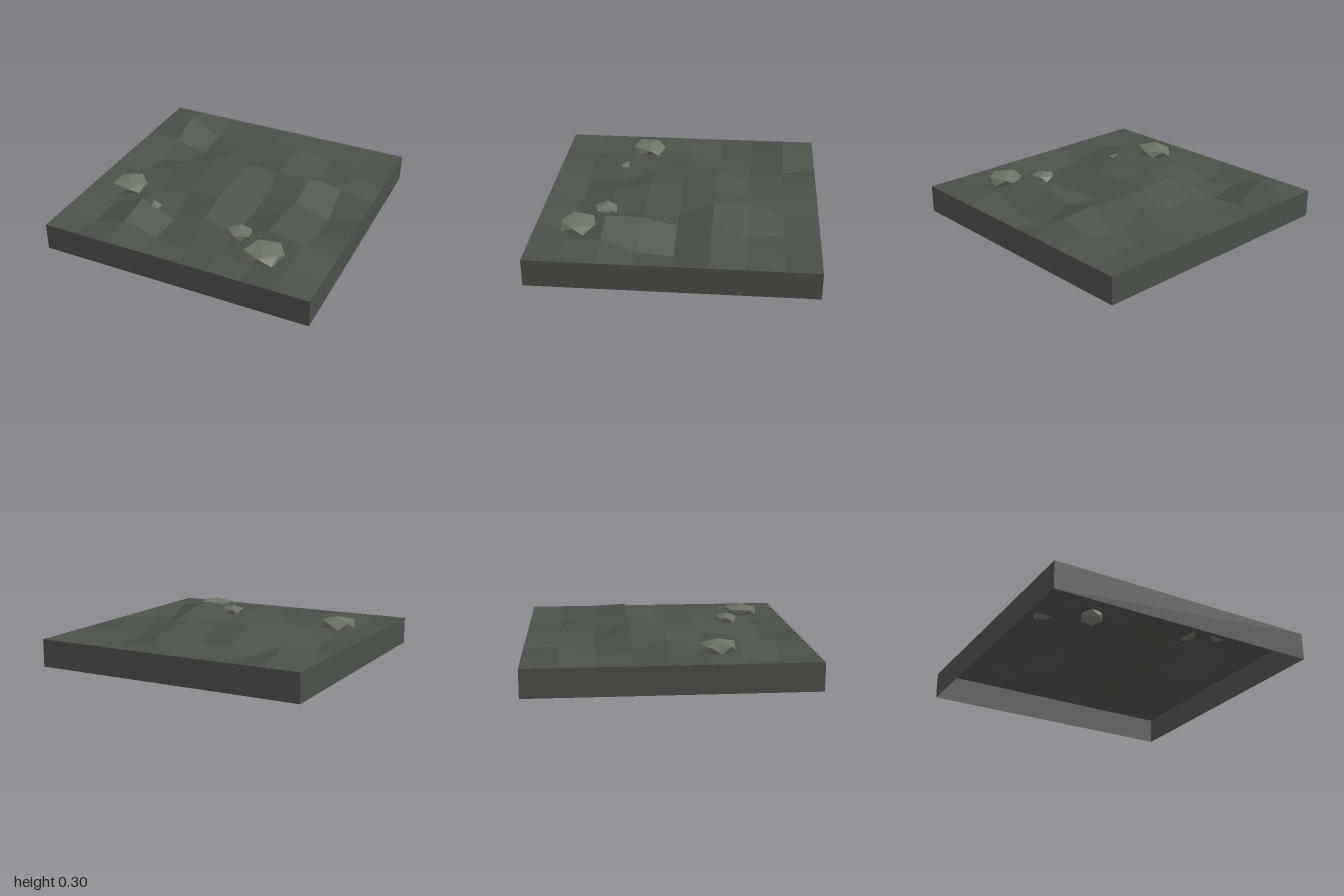
import * as THREE from 'three';

const BASE = 0.2; // height of the rim
const N = 8;      // cells per side

// Inner ground heights in hundredths, rows from back to front, columns from -x to +x
const HEIGHTS = [
  [28.5, 15.5, 17, 22, 19.5, 18, 17],
  [17.5, 13, 18.5, 18.5, 27.8, 15, 22],
  [13, 18, 28.5, 27.5, 26.5, 28.5, 26.2],
  [18, 25, 25, 27, 18.5, 22, 12.5],
  [22, 18.5, 25, 27.5, 18.5, 28, 14],
  [16, 27, 15.5, 24, 18, 28, 23.5],
  [15, 23, 14.5, 13, 18, 14.5, 23],
];

// Rocks: name, position, radius, half height, turn
const ROCKS = [
  ['largeRockLeft', -0.7, 0.245, 0.325, 0.152, 0.056, 0.4],
  ['largeRockRight', 0.55, 0.236, 0.69, 0.146, 0.054, 1.35],
  ['mediumRock', 0.3, 0.225, 0.53, 0.098, 0.04, 2.2],
  ['buriedRock', -0.43, 0.2, 0.46, 0.09, 0.055, 0.8],
];

const stone = (color, flatShading) =>
  new THREE.MeshStandardMaterial({ color, flatShading, side: THREE.DoubleSide });

// Ground: a grid whose inner points are raised or sunk, each cell shaded as one facet
function ground(material) {
  const grid = new THREE.PlaneGeometry(2, 2, N, N).rotateX(-Math.PI / 2);
  const pos = grid.attributes.position;
  for (let i = 0; i < pos.count; i++) {
    const col = i % (N + 1), row = Math.floor(i / (N + 1));
    const inside = col > 0 && col < N && row > 0 && row < N;
    pos.setY(i, inside ? HEIGHTS[row - 1][col - 1] / 100 : BASE);
  }
  const geo = grid.toNonIndexed();
  geo.computeVertexNormals();
  const normal = geo.attributes.normal;
  const a = new THREE.Vector3(), b = new THREE.Vector3();
  for (let i = 0; i < normal.count; i += 6) {
    a.fromBufferAttribute(normal, i).add(b.fromBufferAttribute(normal, i + 3)).normalize();
    for (let k = i; k < i + 6; k++) normal.setXYZ(k, a.x, a.y, a.z);
  }
  const mesh = new THREE.Mesh(geo, material);
  mesh.name = 'ground';
  return mesh;
}

// Rock: a flattened icosahedron, point up, with its corners pushed in or out
function rock([name, x, y, z, radius, half, turn], material) {
  const geo = new THREE.IcosahedronGeometry(1, 0);
  const pos = geo.attributes.position;
  const v = new THREE.Vector3();
  for (let i = 0; i < pos.count; i++) {
    v.fromBufferAttribute(pos, i);
    v.multiplyScalar(0.97 + 0.08 * Math.sin(5 * v.x + 7 * v.y + 11 * v.z + turn * 3));
    pos.setXYZ(i, v.x, v.y, v.z);
  }
  geo.rotateX(-1.1).rotateY(turn).scale(radius, half, radius);
  const mesh = new THREE.Mesh(geo, material);
  mesh.name = name;
  mesh.position.set(x, y, z);
  return mesh;
}

export function createModel() {
  const group = new THREE.Group();
  group.name = 'rockyGroundTile';
  const earth = stone(0x4b5049, false);
  const rockGrey = stone(0x6c7265, true);

  group.add(ground(earth));

  // Four side walls, open underneath
  ['front', 'right', 'back', 'left'].forEach((side, i) => {
    const wall = new THREE.Mesh(
      new THREE.PlaneGeometry(2, BASE).translate(0, BASE / 2, 1).rotateY(-i * Math.PI / 2), earth);
    wall.name = side + 'Wall';
    group.add(wall);
  });

  // Loose rocks
  const rocks = new THREE.Group();
  rocks.name = 'rocks';
  ROCKS.forEach((r) => rocks.add(rock(r, rockGrey)));
  group.add(rocks);
  return group;
}
